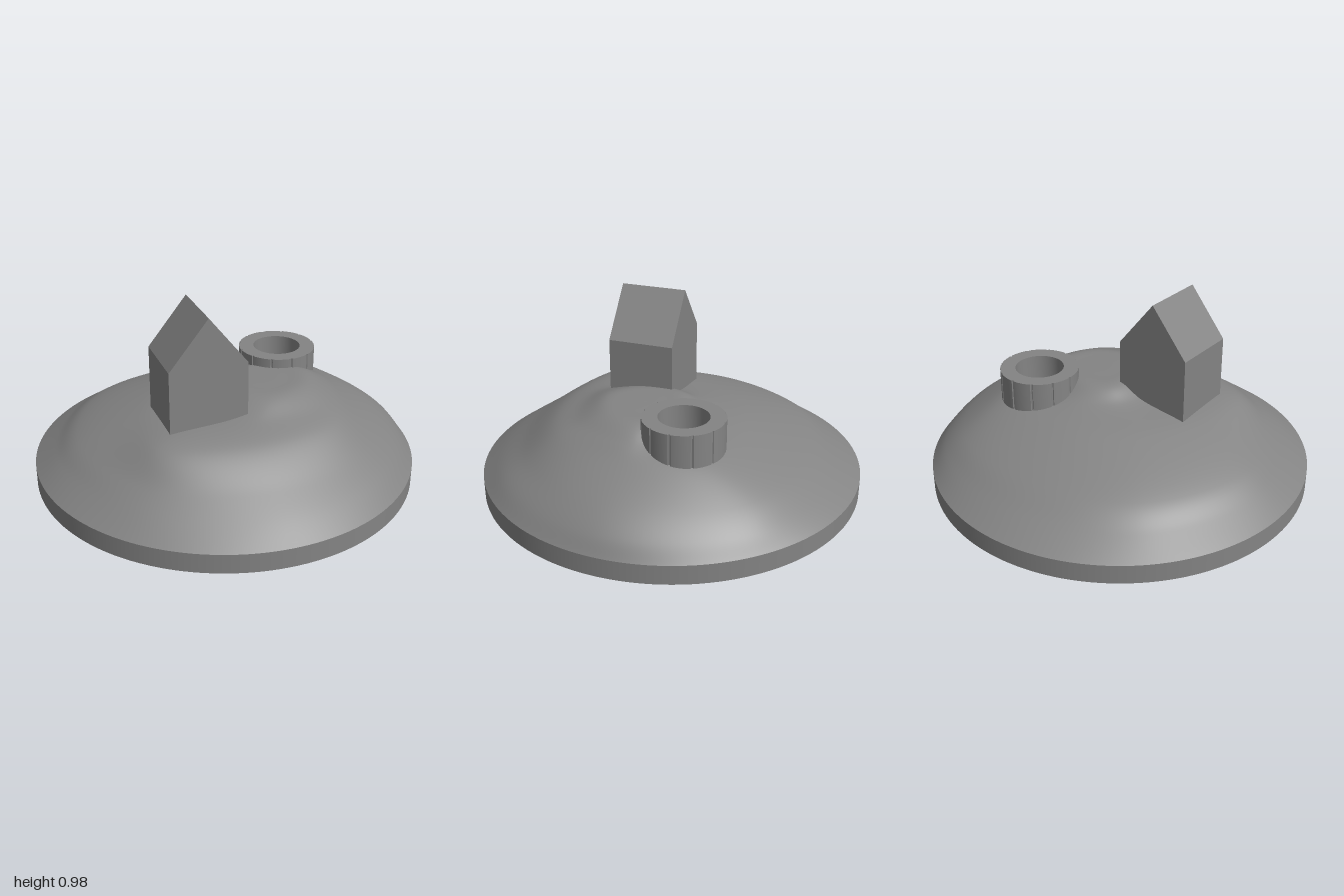
import * as THREE from 'three';
import { toCreasedNormals } from 'three/addons/utils/BufferGeometryUtils.js';

const WELL = { x: 0.38, z: -0.2, outer: 0.207, inner: 0.127, top: 0.55 };
const COLS = 144, ROWS = 66, RIM = 0.1;

const material = (side = THREE.FrontSide) => new THREE.MeshStandardMaterial({ color: 0x848484, side });

function addPart(group, name, geometry, side) {
  const mesh = new THREE.Mesh(geometry, material(side));
  mesh.name = name;
  group.add(mesh);
  return mesh;
}

// Closed contour line through eight [x, z] points at one height
function contour(y, points) {
  const pts = points.map(([x, z]) => new THREE.Vector3(x, y, z));
  return new THREE.CatmullRomCurve3(pts, true);
}

// Contour at a given radius for each of the eight compass directions
const radial = (y, radii) => contour(y, radii.map((r, i) =>
  [r * Math.cos(i * Math.PI / 4), r * Math.sin(i * Math.PI / 4)]));

// Hill surface lofted through contour lines, open inside the well wall
function hillGeometry() {
  const contours = [
    radial(0.18, [0.945, 0.92, 0.89, 0.895, 0.895, 0.88, 0.865, 0.93]),
    radial(0.26, [0.85, 0.81, 0.77, 0.785, 0.785, 0.76, 0.725, 0.83]),
    contour(0.385, [[0.63, 0], [0.47, 0.45], [0, 0.58], [-0.47, 0.42],
      [-0.47, 0.07], [-0.28, -0.27], [0.05, -0.42], [0.5, -0.35]]),
    contour(0.44, [[0.54, 0], [0.42, 0.34], [0.05, 0.42], [-0.1, 0.3],
      [-0.14, 0.05], [-0.08, -0.13], [0.12, -0.23], [0.4, -0.15]]),
    contour(0.495, [[0.43, 0.03], [0.36, 0.22], [0.15, 0.29], [0.03, 0.2],
      [-0.02, 0.05], [0.01, -0.06], [0.12, -0.11], [0.3, -0.08]]),
  ];
  const peak = new THREE.Vector3(0.19, 0.502, 0.08);
  const positions = [];
  const columns = [];
  for (let j = 0; j < COLS; j++) {
    const t = j / COLS, a = t * Math.PI * 2;
    const pts = [new THREE.Vector3(Math.cos(a), RIM, Math.sin(a)), ...contours.map(c => c.getPoint(t))];
    pts.push(pts.at(-1).clone().lerp(peak, 0.5).setY(0.501), peak);
    columns.push(new THREE.CatmullRomCurve3(pts));
  }
  for (let i = 0; i <= ROWS; i++) {
    for (const column of columns) positions.push(...column.getPoint(i / ROWS).toArray());
  }
  const index = [];
  for (let i = 0; i < ROWS; i++) {
    for (let j = 0; j < COLS; j++) {
      const a = i * COLS + j, b = i * COLS + (j + 1) % COLS;
      index.push(a, a + COLS, b, b, a + COLS, b + COLS);
    }
  }
  const geometry = new THREE.BufferGeometry();
  geometry.setAttribute('position', new THREE.Float32BufferAttribute(positions, 3));
  geometry.setIndex(index);
  geometry.computeVertexNormals();

  // Cut the bore: the ragged edge stays hidden inside the well wall
  const inBore = v => Math.hypot(positions[v * 3] - WELL.x, positions[v * 3 + 2] - WELL.z) < WELL.inner + 0.012;
  const kept = [];
  for (let k = 0; k < index.length; k += 3) {
    const tri = index.slice(k, k + 3);
    if (!tri.some(inBore)) kept.push(...tri);
  }
  geometry.setIndex(kept);
  return geometry;
}

// Ring of curved stones parted by narrow grooves
function wellGeometry(bottom) {
  const stones = 12, step = Math.PI * 2 / stones, outline = [];
  const add = (r, a) => outline.push(new THREE.Vector2(r * Math.cos(a), r * Math.sin(a)));
  for (let i = 0; i < stones; i++) {
    for (let k = 0; k <= 6; k++) add(WELL.outer, (i + 0.06 + 0.88 * k / 6) * step);
    add(WELL.outer - 0.005, (i + 0.97) * step);
    add(WELL.outer - 0.005, (i + 1.03) * step);
  }
  const shape = new THREE.Shape(outline);
  shape.holes.push(new THREE.Path().absarc(0, 0, WELL.inner, 0, Math.PI * 2, true));
  const geometry = new THREE.ExtrudeGeometry(shape, { depth: WELL.top - bottom, bevelEnabled: false, curveSegments: 32 });
  geometry.rotateX(-Math.PI / 2);
  return toCreasedNormals(geometry, 0.3);
}

export function createModel() {
  const model = new THREE.Group();
  model.name = 'hillWithHouseAndWell';

  // Ground
  addPart(model, 'hill', hillGeometry());
  addPart(model, 'baseRim', new THREE.CylinderGeometry(1, 1, RIM, COLS, 1, true)).position.y = RIM / 2;
  const disc = new THREE.Shape().absarc(0, 0, 1, 0, Math.PI * 2, false);
  disc.holes.push(new THREE.Path().absarc(WELL.x, WELL.z, WELL.inner, 0, Math.PI * 2, true));
  addPart(model, 'baseUnderside', new THREE.ShapeGeometry(disc, 72).rotateX(Math.PI / 2));

  // House: gabled block with its ridge along z
  const gable = new THREE.Shape([[-0.4, 0.34], [0, 0.34], [0, 0.73], [-0.2, 0.98], [-0.4, 0.73]]
    .map(([x, y]) => new THREE.Vector2(x, y)));
  addPart(model, 'house', new THREE.ExtrudeGeometry(gable, { depth: 0.35, bevelEnabled: false }));

  // Well: stone ring above ground and a bore right through the base
  const ringBottom = 0.34;
  addPart(model, 'wellRing', wellGeometry(ringBottom)).position.set(WELL.x, ringBottom, WELL.z);
  const bore = new THREE.CylinderGeometry(WELL.inner, WELL.inner, ringBottom, 64, 1, true);
  addPart(model, 'wellBore', bore, THREE.BackSide).position.set(WELL.x, ringBottom / 2, WELL.z);

  return model;
}
